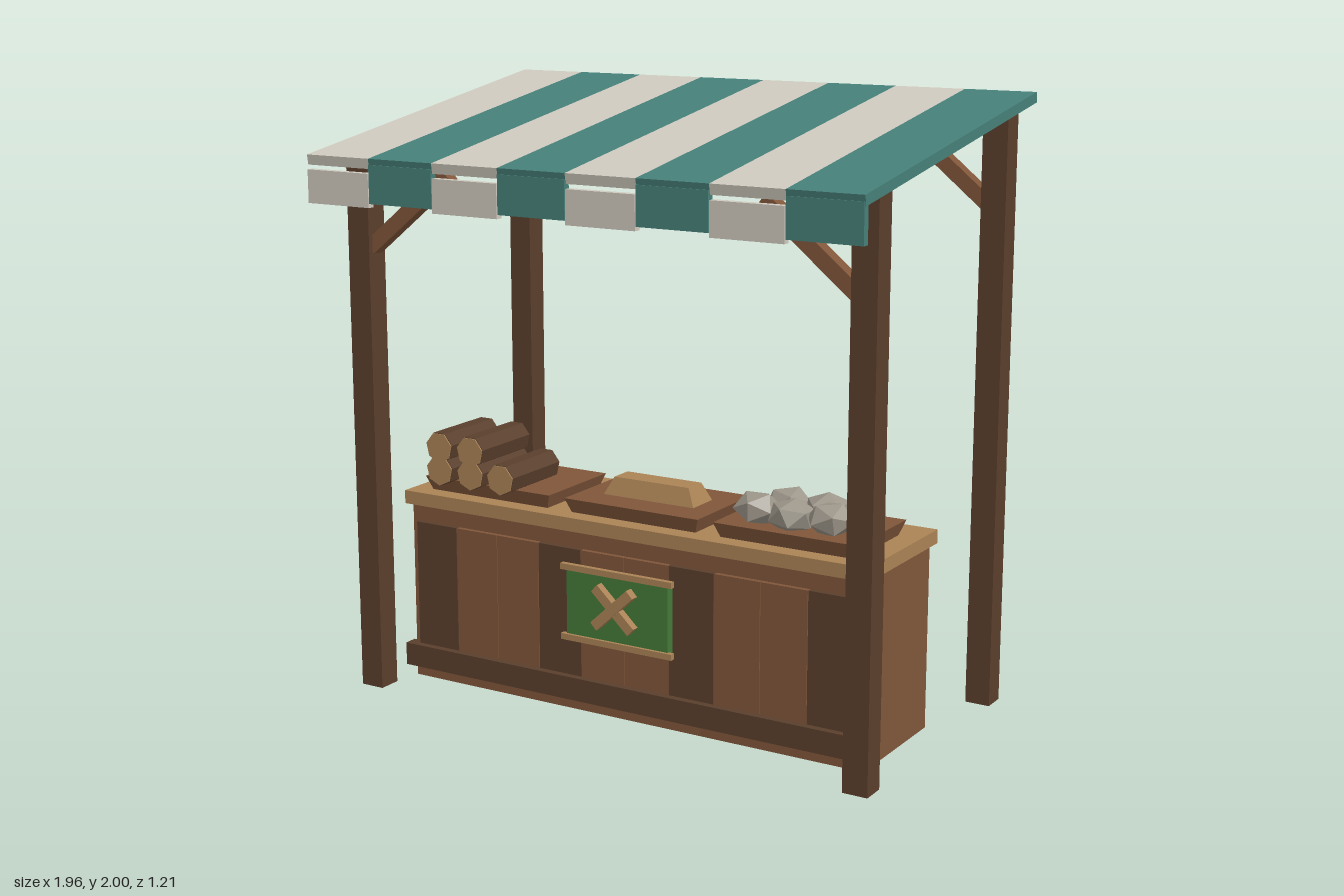
import * as THREE from 'three';

const mat = (name, color) => {
  const m = new THREE.MeshStandardMaterial({ color, flatShading: true });
  m.name = name;
  return m;
};

export function createModel() {
  const dark = mat('dark wood', 0x5a3f2c);
  const wood = mat('wood', 0x80563a);
  const tan = mat('pale wood', 0xaa8355);
  const teal = mat('teal cloth', 0x478079);
  const cream = mat('cream cloth', 0xcfcabe);
  const green = mat('green cloth', 0x457a3a);
  const stone = mat('stone', 0x9c9589);

  const root = new THREE.Group();
  root.name = 'marketStall';

  const add = (name, geo, material, x = 0, y = 0, z = 0) => {
    const mesh = new THREE.Mesh(geo, material);
    mesh.name = name;
    mesh.position.set(x, y, z);
    root.add(mesh);
    return mesh;
  };
  // Box given by its limits on each axis
  const block = (name, material, [x0, x1], [y0, y1], [z0, z1]) =>
    add(name, new THREE.BoxGeometry(x1 - x0, y1 - y0, z1 - z0), material,
      (x0 + x1) / 2, (y0 + y1) / 2, (z0 + z1) / 2);
  // Box whose top face is scaled to a different size
  const taperedBox = (w, h, d, topW, topD) => {
    const geo = new THREE.BoxGeometry(w, h, d);
    const p = geo.attributes.position;
    for (let i = 0; i < p.count; i++) {
      if (p.getY(i) > 0) {
        p.setX(i, Math.sign(p.getX(i)) * topW / 2);
        p.setZ(i, Math.sign(p.getZ(i)) * topD / 2);
      }
    }
    geo.computeVertexNormals();
    return geo;
  };

  // Counter
  block('counterBody', wood, [-0.85, 0.85], [0, 0.61], [-0.165, 0.275]);
  block('counterTop', tan, [-0.865, 0.865], [0.61, 0.655], [-0.19, 0.3]);
  for (let i = 0; i < 10; i++) {
    const x = -0.825 + i * 0.165;
    block('frontPlank', i % 3 === 0 ? dark : wood, [x + 0.001, x + 0.164], [0.1, 0.55], [0.27, 0.291]);
  }
  block('baseRail', dark, [-0.865, 0.865], [0.045, 0.122], [0.27, 0.315]);

  // Hanging sign with crossed bars
  block('signCloth', green, [-0.19, 0.19], [0.265, 0.495], [0.305, 0.335]);
  for (const y of [0.27, 0.505]) {
    block('signRod', tan, [-0.208, 0.208], [y - 0.01, y + 0.01], [0.327, 0.345]);
  }
  for (const s of [-1, 1]) {
    const bar = add('signCrossBar', new THREE.BoxGeometry(0.185, 0.033, 0.03), tan, 0, 0.395, 0.35 + s * 0.003);
    bar.rotation.z = s * 0.75;
  }

  // Posts and diagonal braces
  for (const [z, top] of [[0.41, 1.79], [-0.49, 1.95]]) {
    for (const s of [-1, 1]) {
      add('post', new THREE.BoxGeometry(0.084, top, 0.08), dark, s * 0.907, top / 2, z);
      const brace = add('brace', new THREE.BoxGeometry(0.4, 0.05, 0.045), wood, s * 0.72, top - 0.17, z);
      brace.rotation.z = -s * 0.68;
    }
  }

  // Striped sloping awning with a hanging front flap under each stripe
  const slope = Math.atan2(0.195, 1.2);
  for (let i = 0; i < 8; i++) {
    const x = -0.8575 + i * 0.245;
    const isTeal = i % 2 === 1;
    const cloth = isTeal ? teal : cream;
    const stripe = add('awningStripe', new THREE.BoxGeometry(0.245, 0.033, 1.216), cloth, x, 1.885, 0);
    stripe.rotation.x = slope;
    const [y0, y1] = isTeal ? [1.663, 1.785] : [1.65, 1.757];
    block('awningFlap', cloth, [x - 0.121, x + 0.121], [y0, y1], [0.579, 0.604]);
  }

  // Display trays
  for (const x of [-0.56, 0, 0.555]) {
    add('tray', taperedBox(0.465, 0.048, 0.305, 0.5, 0.34), wood, x, 0.679, 0.085);
  }

  // Pale ingot on the middle tray
  add('ingot', taperedBox(0.34, 0.06, 0.12, 0.28, 0.08), tan, 0, 0.731, 0.085);

  // Stacked logs with pale cut ends
  for (const [x, y] of [[-0.7, 0.75], [-0.575, 0.75], [-0.455, 0.75], [-0.7, 0.828], [-0.575, 0.828]]) {
    const log = add('log', new THREE.CylinderGeometry(0.053, 0.053, 0.265, 7), dark, x, y, 0.188);
    const end = add('logEnd', new THREE.CylinderGeometry(0.051, 0.051, 0.006, 7), tan, x, y, 0.322);
    log.rotation.x = end.rotation.x = Math.PI / 2;
  }

  // Heap of faceted stones
  const stones = [
    [0.415, 0.745, 0.165], [0.54, 0.74, 0.175], [0.67, 0.745, 0.165],
    [0.475, 0.745, 0.07], [0.61, 0.745, 0.07],
  ];
  stones.forEach(([x, y, z], i) => {
    const geo = new THREE.IcosahedronGeometry(0.079, 0);
    geo.rotateY(i * 1.3).rotateX(i * 0.4).scale(1, 0.72, 1);
    add('stone', geo, stone, x, y, z);
  });

  return root;
}
